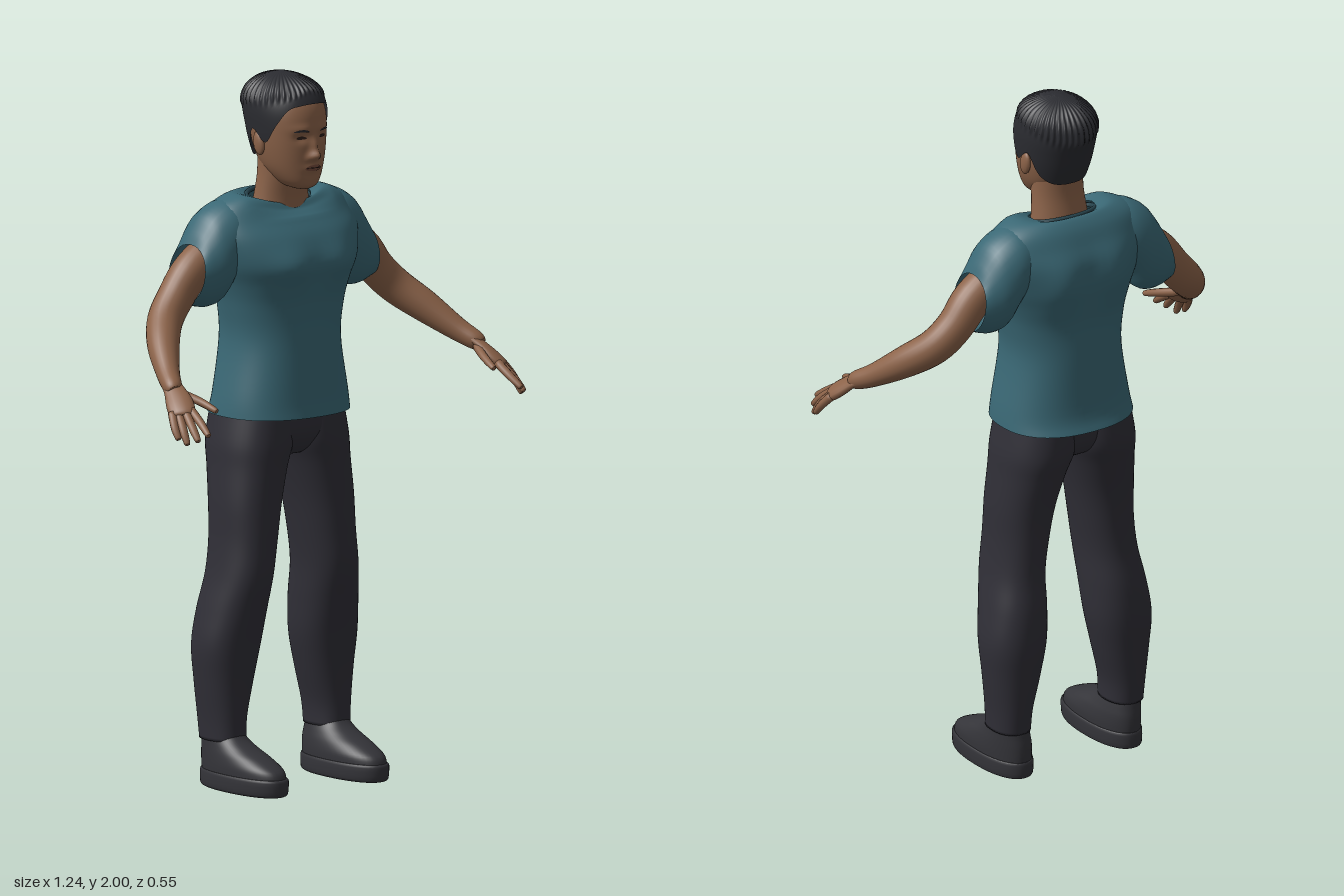
import * as THREE from 'three';

const mat = (name, color, side = THREE.FrontSide) => {
  const m = new THREE.MeshStandardMaterial({ color, side });
  m.name = name;
  return m;
};
const V = (x, y, z) => new THREE.Vector3(x, y, z);
const clamp = THREE.MathUtils.clamp;
const gauss = (d, s) => Math.exp(-(d * d) / (s * s));
const spow = (v, p) => Math.sign(v) * Math.abs(v) ** p;

// Catmull-Rom refinement of a table of rows
function smooth(rows, k) {
  const out = [];
  for (let i = 0; i < rows.length - 1; i++) {
    const a = rows[Math.max(i - 1, 0)], b = rows[i], c = rows[i + 1], d = rows[Math.min(i + 2, rows.length - 1)];
    for (let s = 0; s < k; s++) {
      const t = s / k;
      out.push(b.map((_, j) => b[j] + 0.5 * t * (c[j] - a[j] + t * (2 * a[j] - 5 * b[j] + 4 * c[j] - d[j] + t * (3 * (b[j] - c[j]) + d[j] - a[j])))));
    }
  }
  out.push(rows[rows.length - 1]);
  return out;
}

// Closed rings of points joined into a skin, optionally capped
function loft(rings, capStart = true, capEnd = true) {
  const n = rings[0].length, pos = [], idx = [];
  rings.forEach(r => r.forEach(p => pos.push(p.x, p.y, p.z)));
  for (let i = 0; i < rings.length - 1; i++) {
    for (let j = 0; j < n; j++) {
      const a = i * n + j, b = i * n + (j + 1) % n;
      idx.push(a, b, b + n, a, b + n, a + n);
    }
  }
  const cap = (i, flip) => {
    const c = rings[i].reduce((s, p) => s.add(p), V(0, 0, 0)).divideScalar(n), k = pos.length / 3;
    pos.push(c.x, c.y, c.z);
    for (let j = 0; j < n; j++) {
      const a = i * n + j, b = i * n + (j + 1) % n;
      idx.push(k, flip ? b : a, flip ? a : b);
    }
  };
  if (capStart) cap(0, true);
  if (capEnd) cap(rings.length - 1, false);
  const g = new THREE.BufferGeometry();
  g.setAttribute('position', new THREE.Float32BufferAttribute(pos, 3));
  g.setIndex(idx);
  g.computeVertexNormals();
  return g;
}

// Horizontal cross-section; row = [y, centre x, half width, front z, back z]
function ringPoint([y, cx, rx, zf, zb], th, p) {
  const cz = (zf + zb) / 2;
  return V(cx + rx * spow(Math.sin(th), p), y, cz + (zf - zb) / 2 * spow(Math.cos(th), p));
}
function body(rows, { n = 48, k = 5, p = 0.9, deform = q => q, caps = [true, true] } = {}) {
  return loft(smooth(rows, k).map(r => Array.from({ length: n }, (_, j) => deform(ringPoint(r, j / n * Math.PI * 2, p)))), ...caps);
}
function lookup(rows, y) {
  let i = 0;
  while (i < rows.length - 2 && rows[i + 1][0] < y) i++;
  const t = clamp((y - rows[i][0]) / (rows[i + 1][0] - rows[i][0]), 0, 1);
  return rows[i].map((v, j) => v + (rows[i + 1][j] - v) * t);
}

// Limb along a curve; pts = [x, y, z, radius], flattened across ref
function limb(pts, { n = 16, k = 5, flat = 1, ref = V(0, 0, 1) } = {}) {
  const rows = smooth(pts, k);
  return loft(rows.map((r, i) => {
    const a = rows[Math.max(i - 1, 0)], b = rows[Math.min(i + 1, rows.length - 1)];
    const t = V(b[0] - a[0], b[1] - a[1], b[2] - a[2]).normalize();
    const u = ref.clone().addScaledVector(t, -ref.dot(t)).normalize(), v = t.clone().cross(u);
    return Array.from({ length: n }, (_, j) => {
      const th = j / n * Math.PI * 2;
      return V(r[0], r[1], r[2]).addScaledVector(u, Math.cos(th) * r[3]).addScaledVector(v, Math.sin(th) * r[3] * flat);
    });
  }));
}
function mirrored(g) {
  const m = g.clone().scale(-1, 1, 1), a = m.index.array;
  for (let i = 0; i < a.length; i += 3) [a[i], a[i + 1]] = [a[i + 1], a[i]];
  m.computeVertexNormals();
  return m;
}

export function createModel() {
  const skin = mat('skin', 0x8c6349), shirt = mat('shirt teal', 0x3a6875, THREE.DoubleSide);
  const trim = mat('collar trim', 0x27434c), cloth = mat('trouser charcoal', 0x302f37, THREE.DoubleSide);
  const leather = mat('shoe grey', 0x343439), hairMat = mat('hair black', 0x2a2b30, THREE.DoubleSide);
  const lipMat = mat('lip brown', 0x744a3b), eyeMat = mat('eye dark', 0x2b1d18);
  const model = new THREE.Group();
  model.name = 'standingPerson';
  const add = (name, g, m) => {
    const mesh = new THREE.Mesh(g, m);
    mesh.name = name;
    model.add(mesh);
  };
  const pair = (name, g, m) => {
    add(name + 'Left', g, m);
    add(name + 'Right', mirrored(g), m);
  };

  // Shirt body: fuller chest and shoulder blades, neckline dipping at the front
  add('shirtBody', body([
    [1.045, 0, 0.2, 0.075, -0.268], [1.1, 0, 0.193, 0.068, -0.25], [1.25, 0, 0.168, 0.06, -0.243],
    [1.35, 0, 0.18, 0.06, -0.238], [1.42, 0, 0.2, 0.07, -0.245], [1.48, 0, 0.225, 0.078, -0.25],
    [1.55, 0, 0.245, 0.05, -0.245], [1.6, 0, 0.24, 0.01, -0.225], [1.64, 0, 0.21, -0.015, -0.205],
    [1.665, 0, 0.15, -0.03, -0.18], [1.657, 0, 0.1, -0.035, -0.165],
  ], {
    n: 72, p: 0.85, caps: [false, false],
    deform: q => {
      const bulge = gauss(Math.abs(q.x) - 0.085, 0.06);
      if (q.z > 0) q.z += 0.014 * bulge * gauss(q.y - 1.475, 0.055);
      if (q.z < -0.15) q.z -= 0.018 * bulge * gauss(q.y - 1.5, 0.08);
      q.y -= 0.03 * clamp((q.y - 1.6) / 0.05, 0, 1) * clamp((q.z + 0.1) / 0.07, 0, 1) * clamp(1 - (q.x / 0.15) ** 2, 0, 1);
      return q;
    },
  }), shirt);
  const neckline = Array.from({ length: 24 }, (_, i) => {
    const a = i / 24 * Math.PI * 2;
    return V(0.1 * Math.sin(a), 1.645 - 0.017 * Math.cos(a), -0.1 + 0.066 * Math.cos(a));
  });
  add('collar', new THREE.TubeGeometry(new THREE.CatmullRomCurve3(neckline, true), 60, 0.007, 8, true), trim);

  // Sleeves: rows give top x,y, bottom x,y and half depth of each hoop
  const sleeve = smooth([
    [0.12, 1.655, 0.12, 1.47, 0.08], [0.19, 1.652, 0.18, 1.44, 0.098], [0.25, 1.622, 0.225, 1.375, 0.1],
    [0.285, 1.575, 0.275, 1.362, 0.088], [0.302, 1.54, 0.328, 1.38, 0.078],
  ], 5).map(([tx, ty, bx, by, d]) => Array.from({ length: 32 }, (_, j) => {
    const a = j / 32 * Math.PI * 2, c = Math.cos(a);
    return V((tx + bx) / 2 + (tx - bx) / 2 * c, (ty + by) / 2 + (ty - by) / 2 * c, -0.115 + d * spow(Math.sin(a), 0.9));
  }));
  pair('sleeve', loft(sleeve, false, false), shirt);

  // Arms and hands
  pair('arm', limb([
    [0.2, 1.54, -0.11, 0.05], [0.3, 1.47, -0.11, 0.055], [0.36, 1.4, -0.11, 0.052], [0.415, 1.342, -0.09, 0.05],
    [0.47, 1.287, -0.03, 0.045], [0.52, 1.228, 0.05, 0.033], [0.545, 1.2, 0.1, 0.027], [0.55, 1.19, 0.115, 0.02],
  ], { n: 24 }), skin);
  const across = V(0.6, 0, -0.8);
  pair('palm', limb([
    [0.54, 1.207, 0.085, 0.026], [0.55, 1.19, 0.115, 0.03], [0.562, 1.163, 0.15, 0.038], [0.574, 1.14, 0.178, 0.036], [0.578, 1.132, 0.186, 0.024],
  ], { flat: 0.48, ref: across }), skin);
  const fingers = {
    indexFinger: [[0.552, 1.147, 0.19], [0.556, 1.118, 0.236], [0.563, 1.092, 0.275]],
    middleFinger: [[0.568, 1.142, 0.185], [0.58, 1.105, 0.23], [0.586, 1.077, 0.259]],
    ringFinger: [[0.582, 1.138, 0.172], [0.597, 1.098, 0.21], [0.602, 1.066, 0.232]],
    littleFinger: [[0.594, 1.14, 0.158], [0.609, 1.105, 0.187], [0.613, 1.078, 0.207]],
    thumb: [[0.535, 1.185, 0.12], [0.512, 1.166, 0.18], [0.5, 1.147, 0.232]],
  };
  for (const [name, [a, b, c]] of Object.entries(fingers)) {
    const tip = c.map((v, i) => v + (c[i] - b[i]) * 0.08);
    pair(name, limb([[...a, 0.0125], [...b, 0.0115], [...c, 0.0085], [...tip, 0.003]], { n: 10, k: 4, ref: across }), skin);
  }

  // Trousers: rows are y, outer x, inner x, front z, back z
  const legRows = [
    [0.135, 0.242, 0.132, -0.04, -0.186], [0.2, 0.246, 0.128, -0.04, -0.193], [0.3, 0.257, 0.104, -0.034, -0.203],
    [0.4, 0.265, 0.084, -0.02, -0.211], [0.5, 0.251, 0.078, 0.002, -0.206], [0.6, 0.232, 0.074, 0.024, -0.19],
    [0.7, 0.221, 0.06, 0.026, -0.189], [0.8, 0.218, 0.042, 0.025, -0.198], [0.9, 0.21, 0.017, 0.026, -0.22],
    [0.97, 0.205, -0.005, 0.03, -0.237], [1.06, 0.188, -0.01, 0.025, -0.235],
  ].map(([y, o, i, f, b]) => [y, (o + i) / 2, (o - i) / 2, f, b]);
  pair('trouserLeg', body(legRows, { p: 0.88 }), cloth);
  add('trouserSeat', body([
    [0.93, 0, 0.05, -0.02, -0.16], [0.955, 0, 0.14, 0.005, -0.2], [1.0, 0, 0.19, 0.025, -0.222], [1.07, 0, 0.185, 0.025, -0.225],
  ]), cloth);

  // Shoes
  pair('shoeSole', body([
    [0, 0.181, 0.062, 0.128, -0.185], [0.008, 0.181, 0.069, 0.138, -0.194], [0.042, 0.181, 0.07, 0.141, -0.195], [0.05, 0.181, 0.066, 0.135, -0.191],
  ], { k: 3 }), leather);
  pair('shoeUpper', body([
    [0.045, 0.181, 0.065, 0.134, -0.19], [0.07, 0.181, 0.065, 0.122, -0.191], [0.095, 0.182, 0.061, 0.074, -0.19],
    [0.118, 0.184, 0.055, 0.015, -0.186], [0.138, 0.186, 0.05, -0.025, -0.182], [0.16, 0.187, 0.045, -0.05, -0.175],
  ]), leather);

  // Head and neck
  add('neck', body([
    [1.58, 0, 0.095, -0.02, -0.165], [1.65, 0, 0.083, -0.022, -0.152], [1.72, 0, 0.076, -0.015, -0.142], [1.8, 0, 0.075, -0.01, -0.145],
  ], { p: 1 }), skin);
  const headRows = smooth([
    [1.683, 0, 0.022, 0.03, -0.03], [1.692, 0, 0.042, 0.044, -0.06], [1.71, 0, 0.06, 0.05, -0.09], [1.745, 0, 0.079, 0.053, -0.13],
    [1.79, 0, 0.091, 0.056, -0.155], [1.84, 0, 0.097, 0.057, -0.168], [1.89, 0, 0.098, 0.054, -0.175],
    [1.93, 0, 0.09, 0.038, -0.172], [1.965, 0, 0.065, 0.005, -0.145], [1.982, 0, 0.025, -0.04, -0.1],
  ], 8);
  const relief = (x, y) => {
    const ax = Math.abs(x);
    return 0.024 * gauss(x, 0.014) * gauss(y - 1.781, 0.014) + 0.012 * gauss(x, 0.012) * gauss(y - 1.808, 0.022)
      + 0.007 * gauss(ax - 0.016, 0.009) * gauss(y - 1.776, 0.01) - 0.008 * gauss(ax - 0.037, 0.018) * gauss(y - 1.832, 0.013)
      + 0.005 * gauss(ax - 0.035, 0.03) * gauss(y - 1.856, 0.012) + 0.008 * gauss(x, 0.024) * gauss(y - 1.746, 0.012);
  };
  const headRings = headRows.map(r => Array.from({ length: 128 }, (_, j) => {
    const q = ringPoint(r, j / 128 * Math.PI * 2, 0.92);
    if (q.z > -0.02) q.z += relief(q.x, q.y);
    return q;
  }));
  add('head', loft(headRings), skin);
  const ear = new THREE.SphereGeometry(1, 16, 12).scale(0.011, 0.034, 0.021).rotateX(-0.2).translate(0.097, 1.81, -0.065);
  pair('ear', ear, skin);

  // Thin facial details laid on the face surface
  const patch = (cx, cy, w, h, bend, lift) => {
    const g = new THREE.CircleGeometry(1, 24), pa = g.attributes.position;
    for (let i = 0; i < pa.count; i++) {
      const u = pa.getX(i), x = cx + u * w, y = cy + pa.getY(i) * h - bend * u * u;
      const [, , rx, zf, zb] = lookup(headRows, y);
      const s = (Math.abs(x) / rx) ** (1 / 0.92);
      pa.setXYZ(i, x, y, (zf + zb) / 2 + (zf - zb) / 2 * Math.sqrt(1 - s * s) ** 0.92 + relief(x, y) + lift);
    }
    g.computeVertexNormals();
    return g;
  };
  pair('eyebrow', patch(0.039, 1.853, 0.021, 0.0035, 0.004, 0.003), hairMat);
  pair('eye', patch(0.037, 1.832, 0.014, 0.0045, 0.001, 0.003), eyeMat);
  add('lips', patch(0, 1.746, 0.027, 0.009, 0.002, 0.002), lipMat);
  add('mouthLine', patch(0, 1.747, 0.025, 0.0014, 0.001, 0.0035), eyeMat);

  // Cropped hair: shaped hairline, radial locks swirling from the crown
  const hairRows = smooth([
    [1.74, 0, 0.08, 0.045, -0.148], [1.77, 0, 0.092, 0.055, -0.16], [1.81, 0, 0.101, 0.062, -0.174], [1.85, 0, 0.105, 0.064, -0.186],
    [1.9, 0, 0.106, 0.06, -0.2], [1.94, 0, 0.099, 0.045, -0.197], [1.97, 0, 0.079, 0.018, -0.175],
    [1.99, 0, 0.047, -0.025, -0.142], [2.0, 0, 0.01, -0.075, -0.095],
  ], 6);
  const hairline = smooth([[1.925], [1.922], [1.91], [1.865], [1.815], [1.85], [1.79], [1.765], [1.76], [1.76]], 4).map(r => r[0]);
  const n = 240, steps = 26, hairRings = [];
  for (let i = 0; i <= steps; i++) {
    hairRings.push(Array.from({ length: n }, (_, j) => {
      const th = j / n * Math.PI * 2, side = Math.min(j, n - j) / (n / 2);
      const f = side * (hairline.length - 1), a = Math.floor(f), b = Math.min(a + 1, hairline.length - 1);
      const low = hairline[a] + (hairline[b] - hairline[a]) * (f - a);
      const y = low + (2 - low) * Math.sin(i / steps * Math.PI / 2);
      const q = ringPoint(lookup(hairRows, y), th, 0.95);
      const start = 1.95 - 0.07 * side;
      const lock = clamp((y - start) / 0.015, 0, 1) * (0.035 * Math.sin(40 * th + (y - 1.9) * 25) + 0.02);
      q.x *= 1 + lock;
      q.z = -0.085 + (q.z + 0.085) * (1 + lock);
      return q;
    }));
  }
  add('hair', loft(hairRings, false, true), hairMat);
  return model;
}
